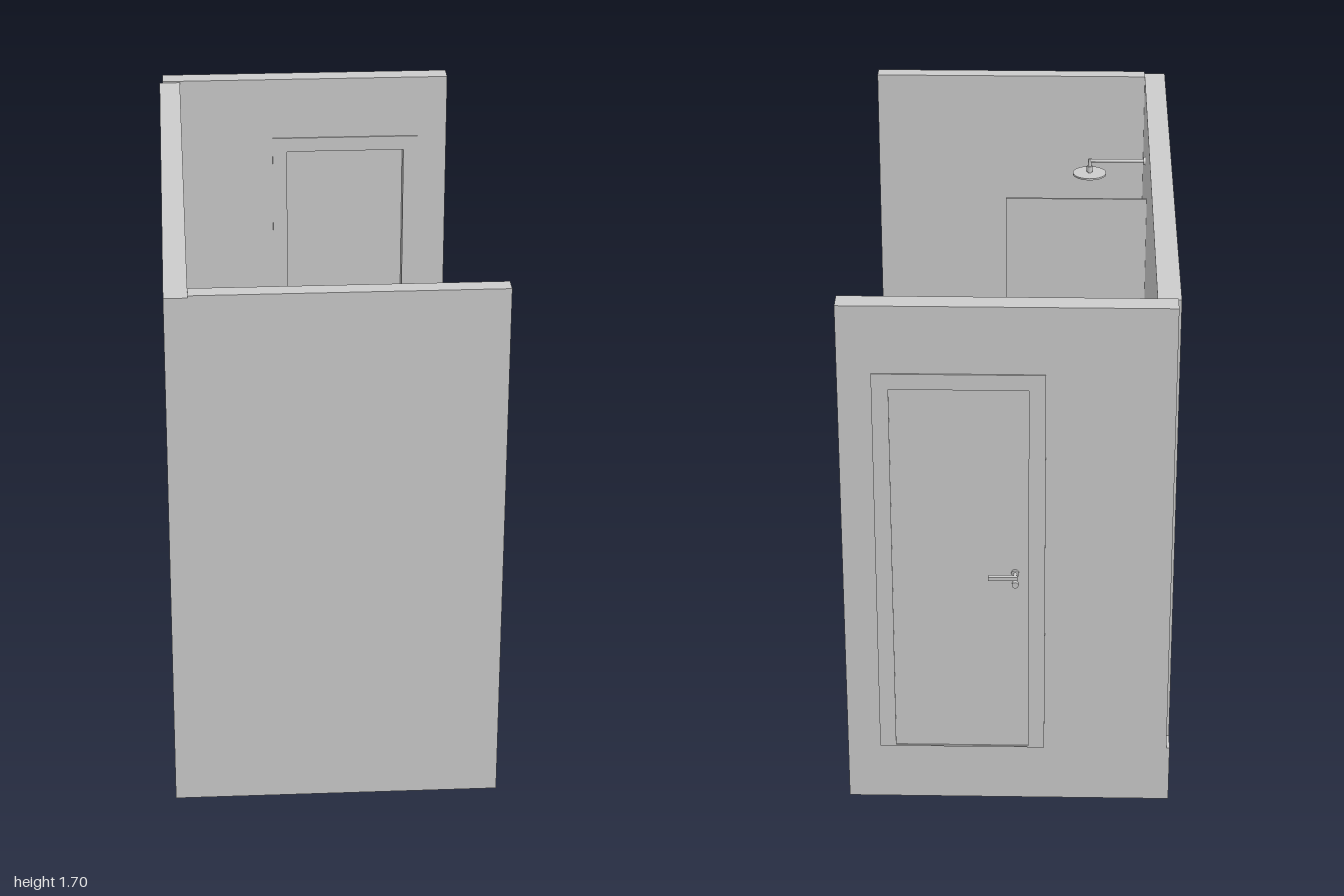
import * as THREE from 'three';
import { toCreasedNormals } from 'three/addons/utils/BufferGeometryUtils.js';

const mat = new THREE.MeshStandardMaterial({ color: 0xcccccc, side: THREE.DoubleSide });
const V = (x, y, z) => new THREE.Vector3(x, y, z);

function add(parent, name, geometry) {
  const mesh = new THREE.Mesh(geometry, mat);
  mesh.name = name;
  parent.add(mesh);
  return mesh;
}

function section(parent, name) {
  const group = new THREE.Group();
  group.name = name;
  parent.add(group);
  return group;
}

// Box from its limits on each axis
function box(parent, name, x0, x1, y0, y1, z0, z1) {
  const g = new THREE.BoxGeometry(x1 - x0, y1 - y0, z1 - z0);
  g.translate((x0 + x1) / 2, (y0 + y1) / 2, (z0 + z1) / 2);
  add(parent, name, g);
}

// Cylinder between two points
function rod(parent, name, a, b, r, sides = 20) {
  const dir = b.clone().sub(a);
  const mesh = add(parent, name, new THREE.CylinderGeometry(r, r, dir.length(), sides));
  mesh.position.copy(a).add(b).multiplyScalar(0.5);
  mesh.quaternion.setFromUnitVectors(V(0, 1, 0), dir.normalize());
}

function rect(C, x0, x1, y0, y1) {
  const s = new C();
  s.moveTo(x0, y0);
  s.lineTo(x1, y0);
  s.lineTo(x1, y1);
  s.lineTo(x0, y1);
  s.closePath();
  return s;
}

// Plan shape (x, -z) raised from y0 to y1
function raise(shape, y0, y1, steps = 1) {
  const g = new THREE.ExtrudeGeometry(shape, { depth: y1 - y0, bevelEnabled: false, curveSegments: 24, steps });
  g.rotateX(-Math.PI / 2);
  g.translate(0, y0, 0);
  return g;
}

// D-shaped plan: straight back at x0, round front reaching x1
function dShape(x0, x1, r, z) {
  const s = new THREE.Shape();
  s.moveTo(x0, -z - r);
  s.lineTo(x1 - r, -z - r);
  s.absarc(x1 - r, -z, r, -Math.PI / 2, Math.PI / 2, false);
  s.lineTo(x0, -z + r);
  s.closePath();
  return s;
}

function buildRoom(root) {
  const room = section(root, 'room');
  box(room, 'floorSlab', -0.5, 0.5, 0, 0.19, -0.96, 1);
  box(room, 'sideWall', -0.5, -0.43, 0.19, 1.69, -0.89, 1);
  box(room, 'frontWall', -0.43, 0.5, 0.19, 1.697, 0.945, 1);
  // Back wall with a door opening
  const wall = rect(THREE.Shape, -0.49, 0.5, 0.19, 1.695);
  wall.holes.push(rect(THREE.Path, -0.06, 0.35, 0.195, 1.43));
  const g = new THREE.ExtrudeGeometry(wall, { depth: 0.07, bevelEnabled: false });
  g.translate(0, 0, -0.96);
  add(room, 'backWall', g);
}

function buildDoor(root) {
  const door = section(root, 'door');
  box(door, 'doorLeaf', -0.06, 0.35, 0.195, 1.43, -0.961, -0.94);
  // Casing on both faces of the wall
  for (const z of [-0.965, -0.89]) {
    const frame = rect(THREE.Shape, -0.11, 0.4, 0.19, 1.48);
    frame.holes.push(rect(THREE.Path, -0.06, 0.35, 0.195, 1.43));
    const g = new THREE.ExtrudeGeometry(frame, { depth: 0.005, bevelEnabled: false });
    g.translate(0, 0, z);
    add(door, 'casing', g);
  }
  // Lever and lock rosette, inside and outside
  for (const [face, d] of [[-0.961, -1], [-0.94, 1]]) {
    const handle = section(door, 'doorHandle');
    rod(handle, 'rosette', V(-0.02, 0.815, face), V(-0.02, 0.815, face + d * 0.008), 0.012);
    rod(handle, 'neck', V(-0.02, 0.815, face), V(-0.02, 0.815, face + d * 0.035), 0.006);
    const z = face + d * 0.031;
    box(handle, 'lever', -0.028, 0.06, 0.809, 0.821, z - 0.007, z + 0.007);
    rod(handle, 'lock', V(-0.02, 0.778, face), V(-0.02, 0.778, face + d * 0.012), 0.01);
  }
}

function buildVanity(root) {
  const vanity = section(root, 'vanity');
  // Ring around the basin hollow
  const basinRing = (name, y0, y1) => {
    const s = rect(THREE.Shape, -0.43, -0.17, 0.31, 0.79);
    s.holes.push(rect(THREE.Path, -0.39, -0.19, 0.44, 0.66));
    add(vanity, name, raise(s, y0, y1));
  };
  basinRing('countertop', 0.713, 0.725);
  basinRing('cabinet', 0.61, 0.71);
  box(vanity, 'upperDrawer', -0.43, -0.17, 0.56, 0.61, -0.79, -0.31);
  box(vanity, 'lowerDrawer', -0.43, -0.17, 0.41, 0.554, -0.79, -0.31);
  box(vanity, 'shadowGap', -0.43, -0.178, 0.554, 0.56, -0.785, -0.315);
  rod(vanity, 'drain', V(-0.29, 0.61, -0.55), V(-0.29, 0.615, -0.55), 0.015);

  // Wall spout and its lever
  const tap = section(root, 'basinTap');
  box(tap, 'spoutPlate', -0.43, -0.424, 0.795, 0.832, -0.558, -0.546);
  rod(tap, 'spout', V(-0.43, 0.815, -0.552), V(-0.29, 0.815, -0.552), 0.007);
  rod(tap, 'spoutEnd', V(-0.29, 0.797, -0.552), V(-0.29, 0.823, -0.552), 0.013);
  rod(tap, 'valve', V(-0.43, 0.833, -0.592), V(-0.403, 0.833, -0.592), 0.01);
  rod(tap, 'valveLever', V(-0.41, 0.833, -0.592), V(-0.41, 0.862, -0.592), 0.004);
}

function buildToilet(root) {
  const toilet = section(root, 'toilet');
  const zc = 0.127;
  // Pan narrows and pulls back towards the floor
  const pan = raise(dShape(-0.43, -0.085, 0.107, 0), 0.19, 0.432, 10);
  const p = pan.attributes.position;
  for (let i = 0; i < p.count; i++) {
    const t = THREE.MathUtils.clamp((p.getY(i) - 0.19) / 0.242, 0, 1);
    p.setX(i, -0.43 + (p.getX(i) + 0.43) * (0.8 + 0.2 * t));
    p.setZ(i, zc + p.getZ(i) * (0.74 + 0.26 * Math.pow(t, 0.8)));
  }
  add(toilet, 'pan', toCreasedNormals(pan, 0.6));
  add(toilet, 'seat', toCreasedNormals(raise(dShape(-0.335, -0.08, 0.109, zc), 0.434, 0.444), 0.6));
  add(toilet, 'seatLid', toCreasedNormals(raise(dShape(-0.33, -0.083, 0.107, zc), 0.446, 0.456), 0.6));
  box(toilet, 'tank', -0.43, -0.355, 0.432, 0.625, 0.02, 0.234);
  box(toilet, 'tankLid', -0.43, -0.35, 0.627, 0.642, 0.016, 0.238);
  rod(toilet, 'flushButton', V(-0.39, 0.642, zc), V(-0.39, 0.648, zc), 0.013);
}

function buildShower(root) {
  const shower = section(root, 'shower');
  // Tray with four planes falling to the drain
  const corners = [[-0.43, 0.41], [-0.43, 0.945], [0.47, 0.945], [0.47, 0.41]];
  const pts = [];
  corners.forEach(([x, z], i) => {
    const [u, w] = corners[(i + 1) % 4];
    pts.push(x, 0.21, z, u, 0.21, w, -0.24, 0.198, 0.675);
    pts.push(x, 0.21, z, x, 0.19, z, u, 0.19, w, x, 0.21, z, u, 0.19, w, u, 0.21, w);
  });
  const tray = new THREE.BufferGeometry();
  tray.setAttribute('position', new THREE.Float32BufferAttribute(pts, 3));
  tray.computeVertexNormals();
  add(shower, 'tray', tray);
  box(shower, 'screen', -0.43, 0.04, 0.21, 1.46, 0.41, 0.418);

  // Overhead shower
  const zs = 0.675;
  rod(shower, 'armRosette', V(-0.43, 1.492, zs), V(-0.424, 1.492, zs), 0.014);
  rod(shower, 'arm', V(-0.43, 1.492, zs), V(-0.235, 1.492, zs), 0.006);
  rod(shower, 'armDrop', V(-0.24, 1.497, zs), V(-0.24, 1.446, zs), 0.006);
  rod(shower, 'swivel', V(-0.24, 1.472, zs), V(-0.24, 1.452, zs), 0.01);
  rod(shower, 'showerHead', V(-0.24, 1.442, zs), V(-0.24, 1.448, zs), 0.057, 40);

  // Hand shower with holder and hanging hose
  rod(shower, 'holderRosette', V(-0.43, 0.815, 0.685), V(-0.42, 0.815, 0.685), 0.015);
  rod(shower, 'holder', V(-0.43, 0.815, 0.69), V(-0.385, 0.815, 0.69), 0.008);
  rod(shower, 'handle', V(-0.395, 0.8, 0.698), V(-0.38, 0.908, 0.698), 0.006);
  rod(shower, 'sprayHead', V(-0.38, 0.895, 0.695), V(-0.325, 0.9, 0.695), 0.007);
  const hosePath = new THREE.CatmullRomCurve3([
    V(-0.395, 0.8, 0.698), V(-0.397, 0.74, 0.715), V(-0.4, 0.61, 0.734), V(-0.4, 0.53, 0.725),
    V(-0.4, 0.5, 0.702), V(-0.4, 0.53, 0.678), V(-0.4, 0.61, 0.671), V(-0.405, 0.74, 0.68), V(-0.41, 0.812, 0.685)
  ]);
  add(shower, 'hose', new THREE.TubeGeometry(hosePath, 70, 0.004, 10));

  // Small hook on the front wall
  const hook = section(root, 'wallHook');
  box(hook, 'hookPlate', 0.053, 0.077, 0.803, 0.827, 0.94, 0.946);
  box(hook, 'hookArm', 0.06, 0.07, 0.808, 0.817, 0.915, 0.945);
  box(hook, 'hookTip', 0.055, 0.075, 0.808, 0.857, 0.914, 0.92);
}

export function createModel() {
  const root = new THREE.Group();
  root.name = 'bathroom';
  buildRoom(root);
  buildDoor(root);
  buildVanity(root);
  buildToilet(root);
  buildShower(root);
  return root;
}
